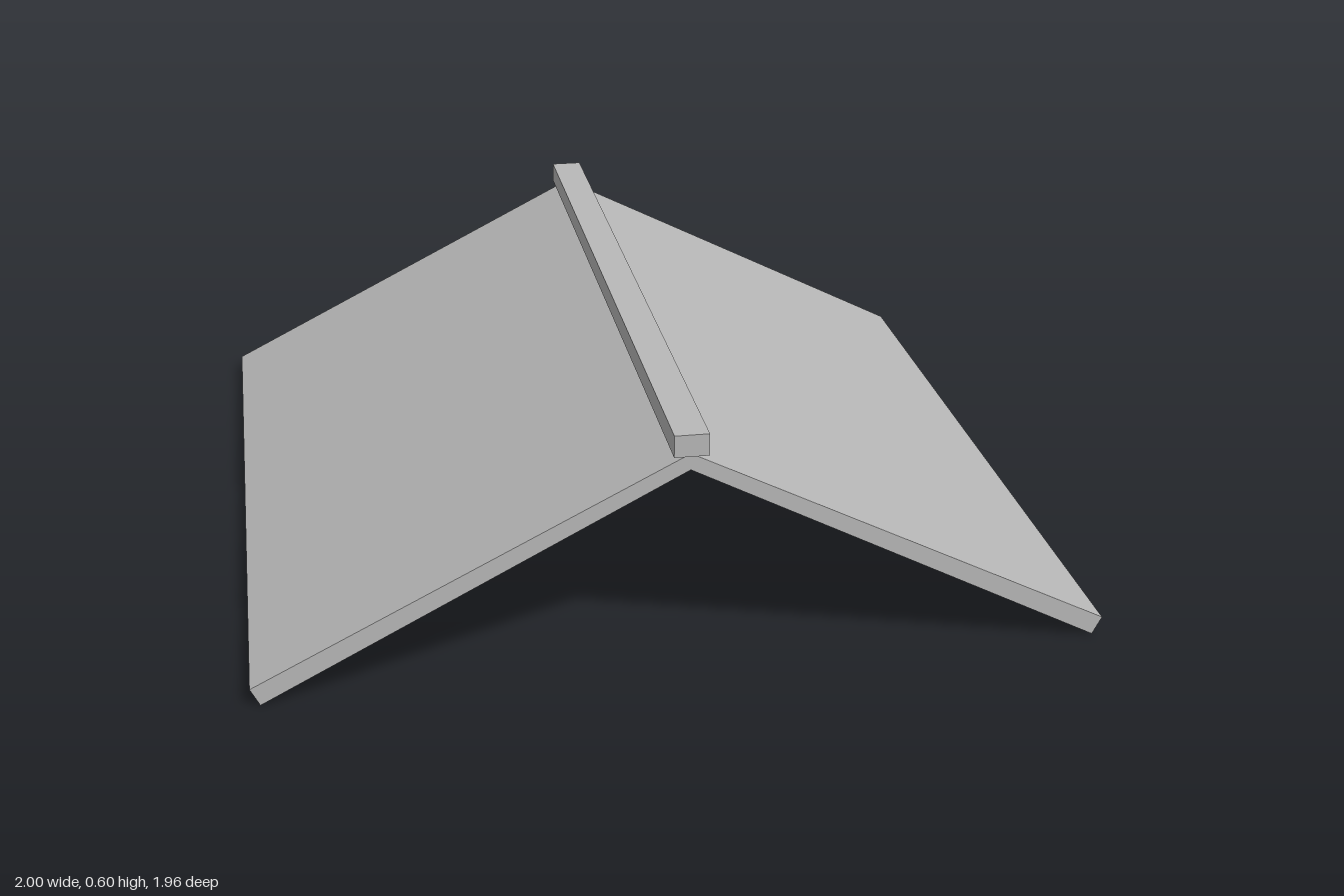
import * as THREE from 'three';

export function createModel() {
  const model = new THREE.Group();
  model.name = 'gableRoof';
  const grey = new THREE.MeshStandardMaterial({ color: 0xb8b8b8 });
  grey.name = 'light grey';

  // Two sloping panels, mitred where they meet under the ridge
  const panelLength = 1.94;
  for (const side of [1, -1]) {
    const profile = new THREE.Shape([
      [0, 0.55], [0, 0.51], [0.978, 0], [1, 0.043],
    ].map(([x, y]) => new THREE.Vector2(side * x, y)));
    const geometry = new THREE.ExtrudeGeometry(profile, { depth: panelLength, bevelEnabled: false });
    geometry.translate(0, 0, -panelLength / 2);
    const panel = new THREE.Mesh(geometry, grey);
    panel.name = side > 0 ? 'leftRoofPanel' : 'rightRoofPanel';
    model.add(panel);
  }

  // Ridge beam, slightly longer than the panels
  const ridge = new THREE.Mesh(new THREE.BoxGeometry(0.08, 0.053, 1.96), grey);
  ridge.name = 'ridgeBeam';
  ridge.position.y = 0.5735;
  model.add(ridge);

  return model;
}
